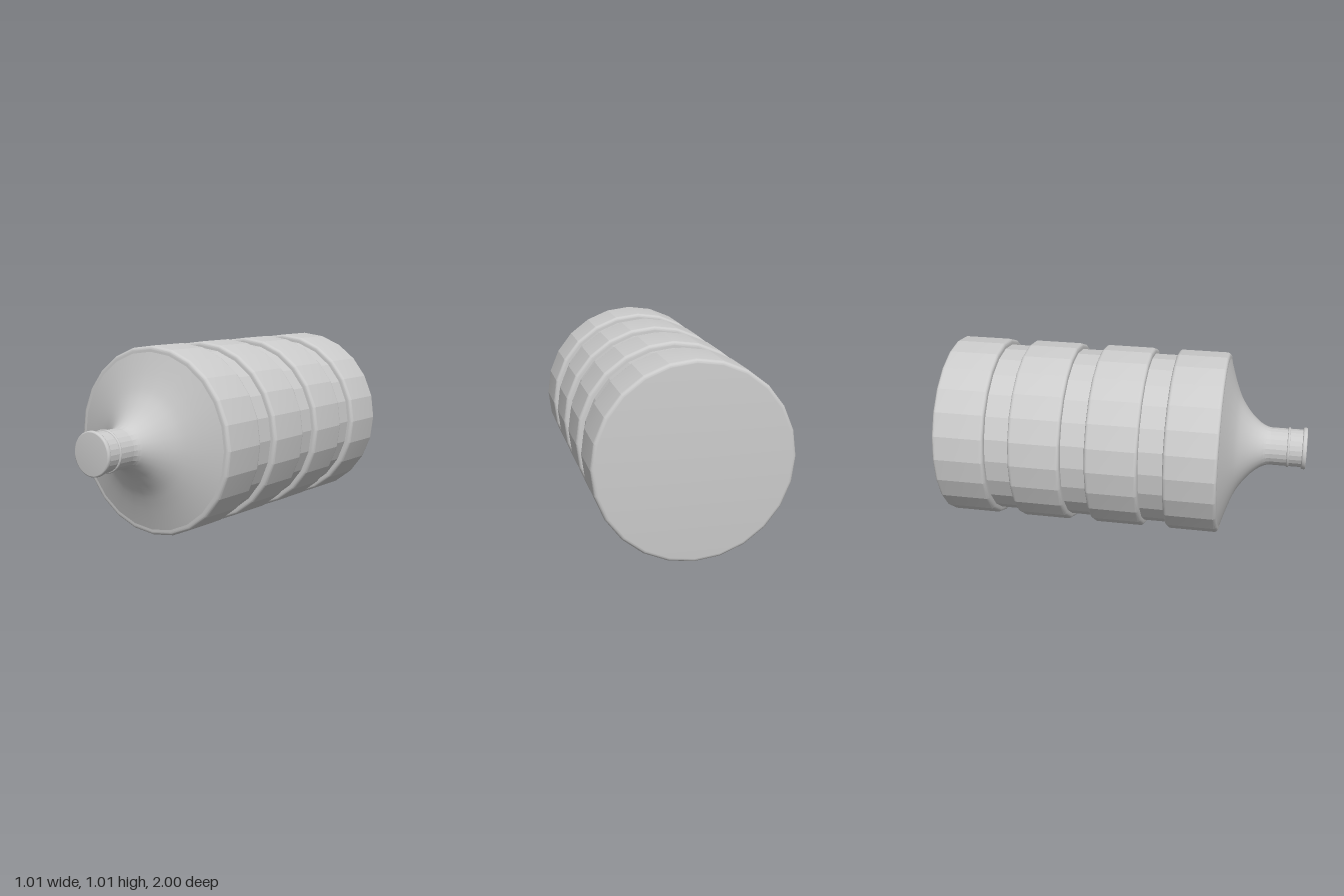
import * as THREE from 'three';
import { toCreasedNormals } from 'three/addons/utils/BufferGeometryUtils.js';

const R = 0.507, CORE = 0.475, NECK = 0.105, BEVEL = 0.02, SIDES = 24;

export function createModel() {
  const group = new THREE.Group();
  const material = new THREE.MeshStandardMaterial({ color: 0xcccccc });

  // Turn a profile of [radius, z] points around the long axis
  function turned(name, points, sides = SIDES, crease = 0.24) {
    const lathe = new THREE.LatheGeometry(points.map(([r, z]) => new THREE.Vector2(r, z)), sides);
    const geometry = toCreasedNormals(lathe, crease);
    geometry.rotateX(Math.PI / 2);
    geometry.translate(0, R, 0);
    const mesh = new THREE.Mesh(geometry, material);
    mesh.name = name;
    group.add(mesh);
  }

  // Quarter-round edge; from and to are angles measured from the radial direction
  function round(r, z, b, from, to, steps = 8) {
    return Array.from({ length: steps + 1 }, (_, i) => {
      const a = from + (to - from) * i / steps;
      return [r - b + b * Math.cos(a), z + b * Math.sin(a)];
    });
  }

  function band(z0, z1, r, b, steps) {
    return [
      [0, z0],
      ...round(r, z0 + b, b, -Math.PI / 2, 0, steps),
      ...round(r, z1 - b, b, 0, Math.PI / 2, steps),
      [0, z1],
    ];
  }

  // Four raised bands with rounded rims
  [[-1, -0.712], [-0.578, -0.292], [-0.159, 0.128], [0.26, 0.548]].forEach(([z0, z1], i) =>
    turned('bodyBand' + (i + 1), band(z0, z1, R, BEVEL)));

  // Narrower core showing in the grooves
  turned('bodyCore', [[CORE, -0.9], [CORE, 0.45]]);

  // Concave shoulder sweeping into the neck
  const sweep = new THREE.SplineCurve([
    [0.495, 0.542], [0.405, 0.57], [0.325, 0.598], [0.255, 0.63], [0.185, 0.68],
    [0.137, 0.73], [0.112, 0.772], [NECK, 0.8],
  ].map(([r, z]) => new THREE.Vector2(r, z)));
  turned('shoulder', sweep.getPoints(24).map(p => [p.x, p.y]));

  // Neck with a thin bead and a closed lip
  turned('neck', [[NECK, 0.8], [NECK, 0.985]]);
  turned('neckBead', band(0.893, 0.907, 0.112, 0.006, 6), 48, 0.6);
  turned('lip', band(0.975, 1, 0.116, 0.008, 6), 48, 0.6);

  return group;
}
